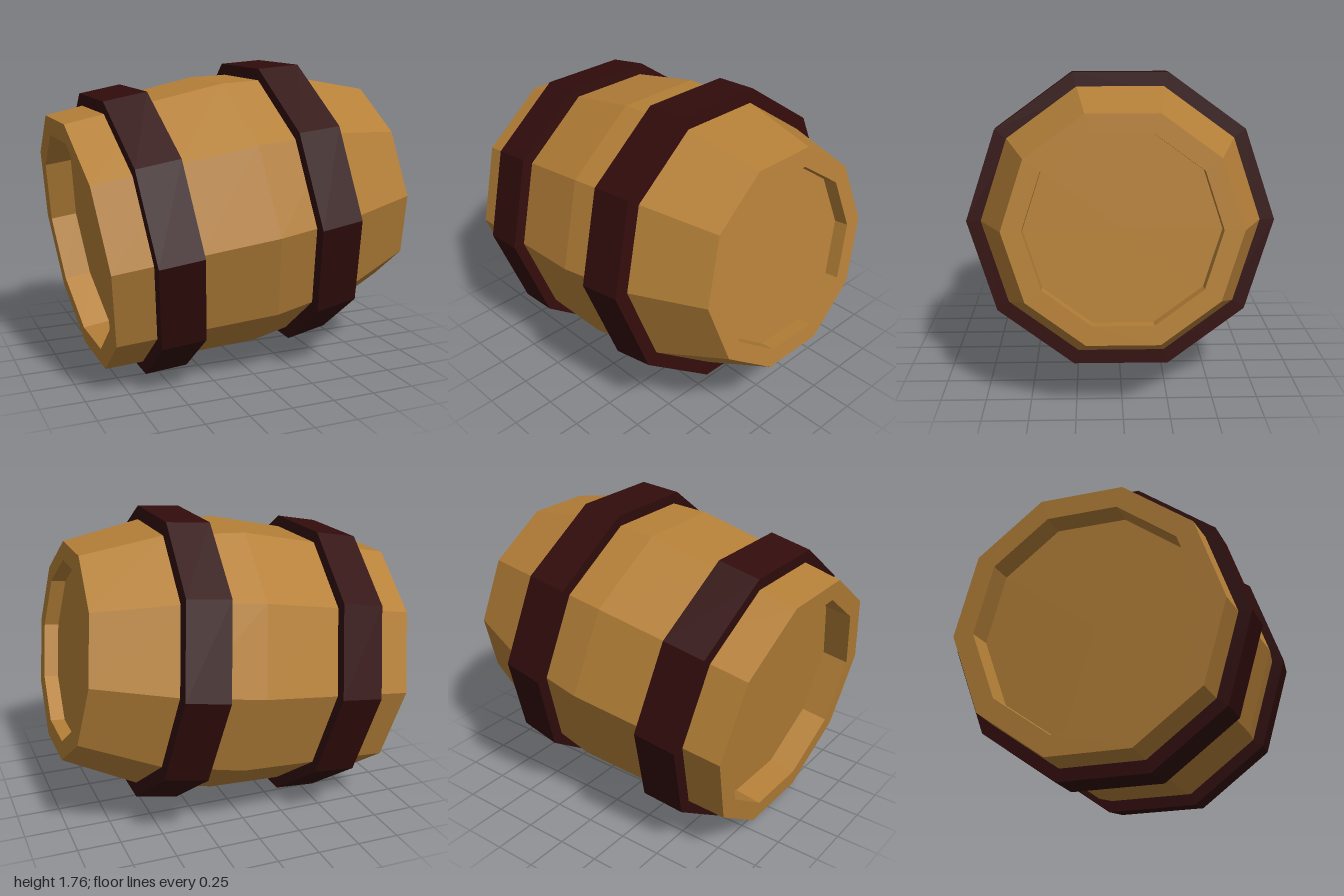
import * as THREE from 'three';

const SIDES = 10;

// Ten-sided lathe part; profile points are [radius, position along the barrel axis]
function turned(name, profile, color) {
  const points = profile.map(([r, a]) => new THREE.Vector2(r, a));
  const geometry = new THREE.LatheGeometry(points, SIDES);
  geometry.rotateZ(-Math.PI / 2); // lay the axis along x
  const material = new THREE.MeshStandardMaterial({ color, flatShading: true });
  const mesh = new THREE.Mesh(geometry, material);
  mesh.name = name;
  return mesh;
}

export function createModel() {
  const group = new THREE.Group();
  group.name = 'barrel';

  const wood = 0xb58038;
  const iron = 0x320c0c;
  const end = 0.922;
  const rearLid = -end + 0.16;
  const frontLid = end - 0.085;

  // Wooden body with a recessed lid at each end, the rear one deeper
  group.add(turned('body', [
    [0, rearLid], [0.635, rearLid], [0.635, -end],
    [0.752, -end], [0.789, -0.46], [0.826, 0], [0.784, 0.46], [0.627, end],
    [0.519, end], [0.519, frontLid], [0, frontLid],
  ], wood));

  // Iron hoops: start, end, outer radius at start and at end
  const hoops = [
    ['rearHoop', -0.699, -0.448, 0.844, 0.857],
    ['frontHoop', 0.225, 0.476, 0.876, 0.86],
  ];
  for (const [name, a, b, ra, rb] of hoops) {
    group.add(turned(name, [[0.74, a], [ra, a], [rb, b], [0.74, b], [0.74, a]], iron));
  }

  // Whole barrel lies slightly tilted, resting on the rear hoop
  group.rotation.z = THREE.MathUtils.degToRad(7.57);
  group.position.set(0.007, 0.885, 0);

  const model = new THREE.Group();
  model.add(group);
  return model;
}
